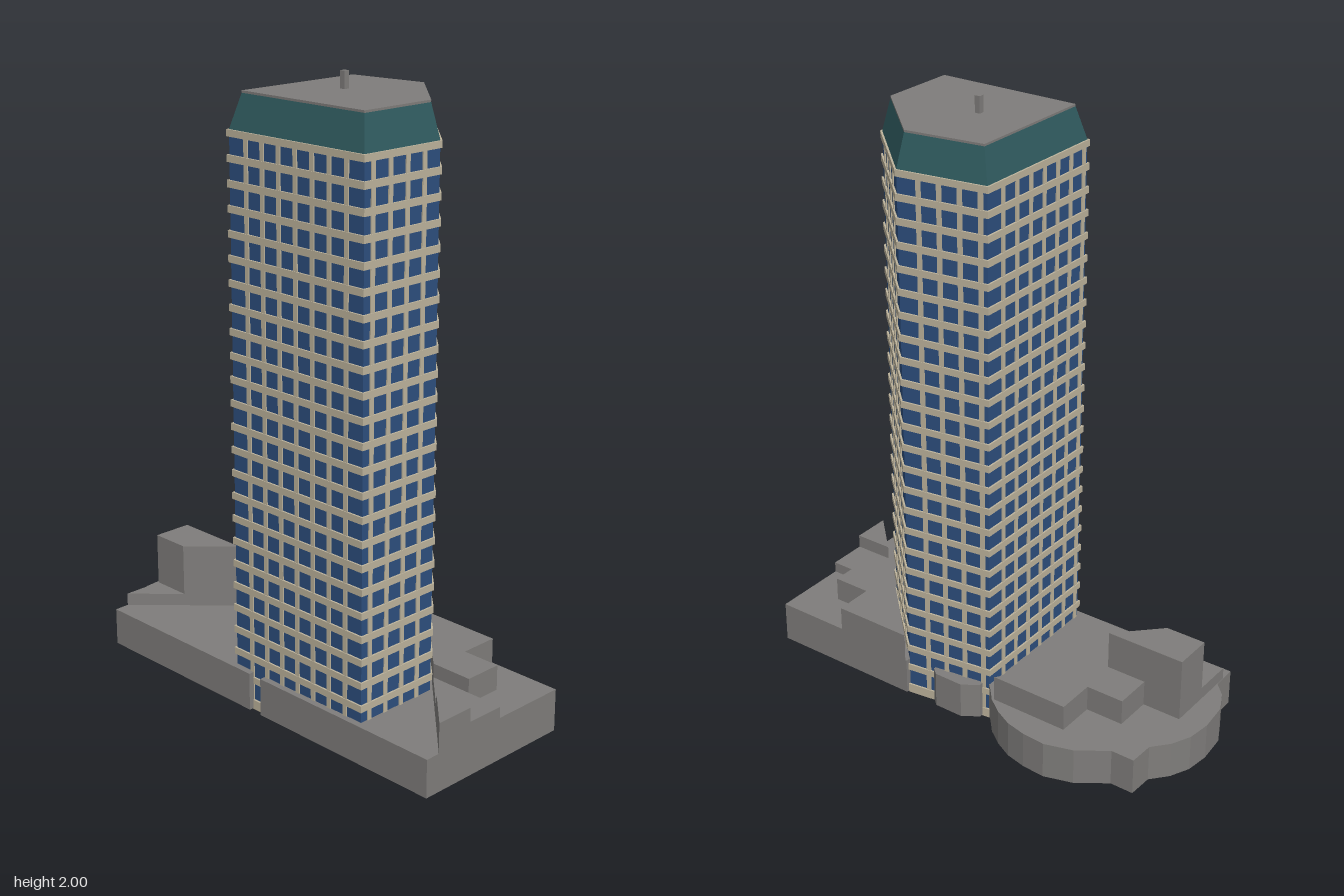
import * as THREE from 'three';

const mat = (name, color) => {
  const m = new THREE.MeshStandardMaterial({ color });
  m.name = name;
  return m;
};

// Upright prism from an outline of [x, z] corners
function prism(points, y0, y1) {
  const shape = new THREE.Shape(points.map(([x, z]) => new THREE.Vector2(x, -z)));
  const geo = new THREE.ExtrudeGeometry(shape, { depth: y1 - y0, bevelEnabled: false });
  return geo.rotateX(-Math.PI / 2).translate(0, y0, 0);
}

// Pushes every side of the tower outline outward by d
function offset(points, d) {
  const n = points.length;
  const normal = (a, b) => {
    const l = Math.hypot(b[0] - a[0], b[1] - a[1]);
    return [-(b[1] - a[1]) / l, (b[0] - a[0]) / l];
  };
  return points.map((p, i) => {
    const u = normal(points[(i + n - 1) % n], p);
    const v = normal(p, points[(i + 1) % n]);
    const k = d / (1 + u[0] * v[0] + u[1] * v[1]);
    return [p[0] + (u[0] + v[0]) * k, p[1] + (u[1] + v[1]) * k];
  });
}

export function createModel() {
  const model = new THREE.Group();
  model.name = 'officeTower';
  const glass = mat('blue glass', 0x2d4f7e);
  const stone = mat('beige stone', 0xbdb39c);
  const teal = mat('teal crown', 0x2f5a5e);
  const grey = mat('grey concrete', 0x7f7d7b);

  const add = (name, geo, material, parent = model) => {
    const mesh = new THREE.Mesh(geo, material);
    mesh.name = name;
    parent.add(mesh);
    return mesh;
  };
  const group = (name) => {
    const g = new THREE.Group();
    g.name = name;
    model.add(g);
    return g;
  };

  // Five-sided glass tower
  const plan = [[-0.315, 0.47], [-0.012, 0.47], [0.23, 0.217], [0.188, -0.08], [-0.315, -0.08]];
  const top = 1.835;
  add('towerGlass', prism(plan, 0.005, top), glass);

  // Floor bands
  const bands = group('floorBands');
  const bandPlan = offset(plan.slice().reverse(), -0.006).reverse();
  const ringPlan = Math.abs(bandPlan[0][0]) > 0.315 ? bandPlan : offset(plan, -0.006);
  add('groundBand', prism(ringPlan, 0, 0.032), stone, bands);
  for (let i = 0; i < 24; i++) {
    const y = 0.1 + i * 0.075;
    add('floorBand', prism(ringPlan, y - 0.011, Math.min(y + 0.011, top)), stone, bands);
  }

  // Vertical mullions on every side
  const mullions = group('mullions');
  plan.forEach((a, i) => {
    const b = plan[(i + 1) % plan.length];
    const dx = b[0] - a[0], dz = b[1] - a[1], len = Math.hypot(dx, dz);
    for (let s = i === 0 ? 0.033 : 0.073; s < len - 0.004; s += 0.0685) {
      const m = add('mullion', new THREE.BoxGeometry(0.016, top - 0.01, 0.008), stone, mullions);
      m.position.set(a[0] + dx * s / len, top / 2 + 0.003, a[1] + dz * s / len);
      m.rotation.y = Math.atan2(-dz, dx);
    }
  });

  // Flared crown: the top corners of a prism move outward
  const wide = offset(plan, -0.027);
  const crown = prism(plan, top, 1.94);
  const pos = crown.attributes.position;
  for (let i = 0; i < pos.count; i++) {
    if (pos.getY(i) < 1.9) continue;
    const k = plan.findIndex(([x, z]) => Math.hypot(x - pos.getX(i), z - pos.getZ(i)) < 0.001);
    pos.setXYZ(i, wide[k][0], 1.94, wide[k][1]);
  }
  crown.computeVertexNormals();
  add('flaredCrown', crown, teal);
  add('roofSlab', prism(wide, 1.94, 1.947), grey);
  add('roofMast', new THREE.BoxGeometry(0.018, 0.056, 0.018).translate(-0.053, 1.972, 0.13), grey);

  // Podium, with a narrow gap beside the tower
  const deck = 0.128;
  add('frontPodium', prism([[-0.337, 0.757], [0.245, 0.757], [0.245, 0.22], [0.1, 0.22],
    [0.1, 0.05], [-0.337, 0.05]], 0.003, deck), grey);
  add('rearPodium', prism([
    [-0.337, 0], [-0.337, -0.673], [-0.25, -0.675], [-0.21, -0.715], [-0.14, -0.75], [-0.04, -0.76],
    [0.04, -0.75], [0.105, -0.72], [0.16, -0.673], [0.245, -0.67], [0.245, -0.59], [0.312, -0.495],
    [0.341, -0.4], [0.336, -0.32], [0.32, -0.25], [0.29, -0.19], [0.25, -0.135], [0.21, -0.1],
    [0.185, -0.075], [0.1, -0.05], [0.1, 0]], 0.003, deck), grey);
  add('sideEntrance', prism([[0.15, 0.12], [0.225, 0.12], [0.245, 0.097], [0.245, -0.005],
    [0.21, -0.057], [0.15, -0.057]], 0.003, deck), grey);

  // Stepped blocks cut off along a diagonal, in front
  const blocks = group('steppedBlocks');
  const block = (points, h) => add('steppedBlock', prism(points, deck, h), grey, blocks);
  block([[-0.287, 0.757], [-0.152, 0.757], [-0.152, 0.622]], 0.226);
  block([[-0.152, 0.757], [-0.018, 0.757], [-0.018, 0.488], [-0.152, 0.622]], 0.18);
  block([[-0.018, 0.632], [0.113, 0.632], [0.113, 0.5], [0.245, 0.5], [0.245, 0.225],
    [-0.018, 0.488]], 0.226);
  block([[-0.018, 0.757], [0.245, 0.757], [0.245, 0.5], [0.113, 0.5], [0.113, 0.632],
    [-0.018, 0.632]], 0.143);

  // Stepped blocks at the back
  block([[-0.287, -0.673], [-0.15, -0.673], [-0.15, -0.536]], 0.17);
  block([[-0.15, -0.673], [-0.016, -0.673], [-0.016, -0.402], [-0.15, -0.536]], 0.345);
  block([[-0.016, -0.54], [0.113, -0.54], [0.113, -0.41], [0.245, -0.41], [0.245, -0.141],
    [-0.016, -0.402]], 0.215);
  return model;
}
